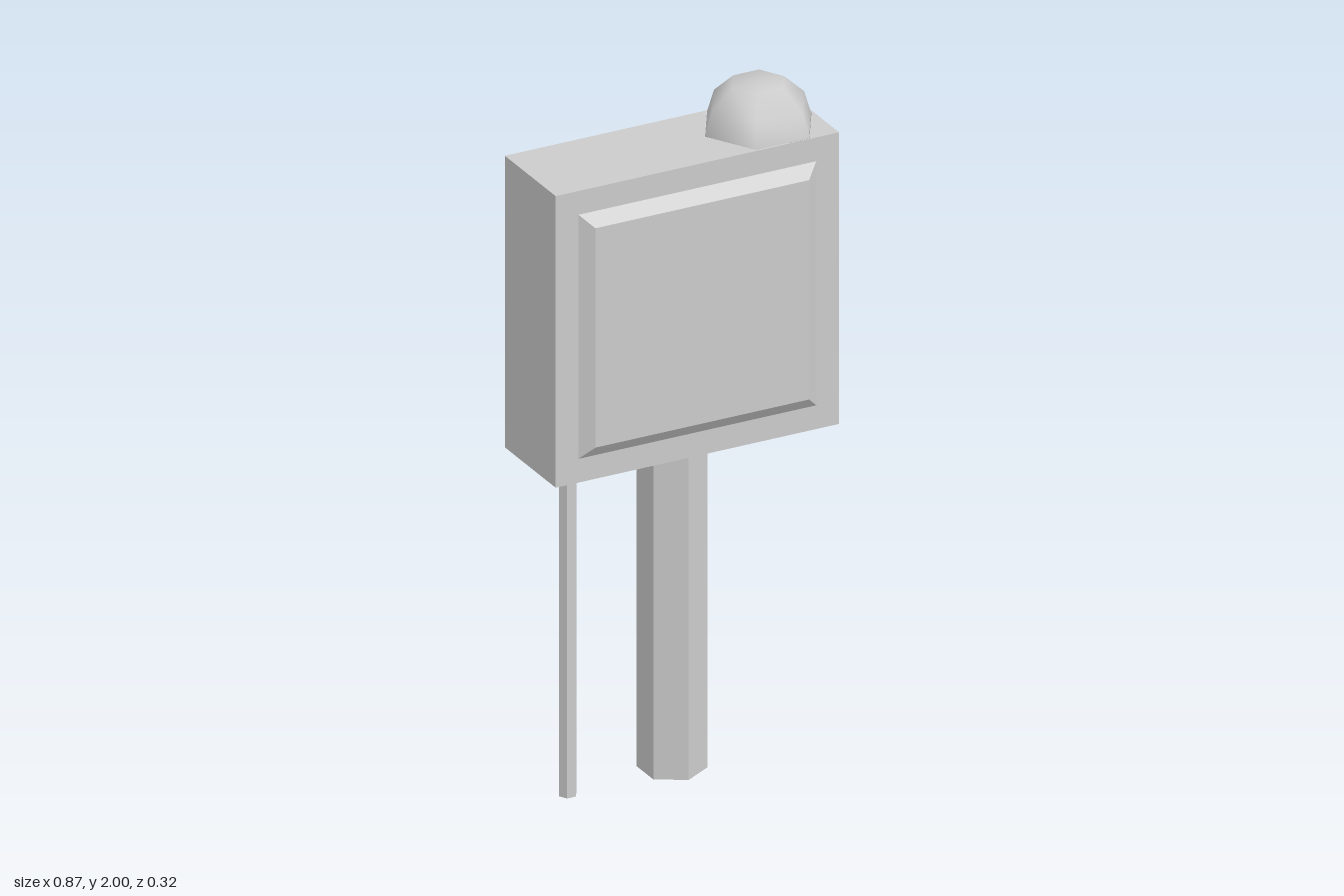
import * as THREE from 'three';

const W = 0.435, BOTTOM = 1.0, TOP = 1.872, BACK = -0.163, FRONT = 0.13;
const MID_Z = -0.016;

const flat = new THREE.MeshStandardMaterial({ color: 0xcccccc, flatShading: true, side: THREE.DoubleSide });
const smooth = new THREE.MeshStandardMaterial({ color: 0xcccccc, side: THREE.DoubleSide });

// Rectangle shape with optional polygon holes { x, y, r, sides, start }
function sheet(x0, y0, x1, y1, holes = []) {
  const shape = new THREE.Shape([[x0, y0], [x1, y0], [x1, y1], [x0, y1]].map(p => new THREE.Vector2(...p)));
  for (const { x, y, r, sides, start } of holes) {
    const pts = [];
    for (let i = 0; i < sides; i++) {
      const a = start - (i / sides) * Math.PI * 2;
      pts.push(new THREE.Vector2(x + r * Math.cos(a), y + r * Math.sin(a)));
    }
    shape.holes.push(new THREE.Path(pts));
  }
  return new THREE.ShapeGeometry(shape);
}

export function createModel() {
  const model = new THREE.Group();
  const add = (name, geometry, x = 0, y = 0, z = 0, material = flat, parent = model) => {
    const mesh = new THREE.Mesh(geometry, material);
    mesh.name = name;
    mesh.position.set(x, y, z);
    parent.add(mesh);
    return mesh;
  };

  // Thin-walled cabinet, open at the back
  const cabinet = new THREE.Group();
  cabinet.name = 'cabinet';
  model.add(cabinet);
  const midY = (BOTTOM + TOP) / 2, half = 0.365, inner = 0.328;
  add('frontFrame', sheet(-W, BOTTOM, W, TOP,
    [{ x: 0, y: midY, r: half * Math.SQRT2, sides: 4, start: Math.PI / 4 }]), 0, 0, FRONT, flat, cabinet);
  for (const s of [-1, 1]) {
    add(s > 0 ? 'leftWall' : 'rightWall',
      new THREE.PlaneGeometry(FRONT - BACK, TOP - BOTTOM).rotateY(s * Math.PI / 2),
      s * W, midY, (FRONT + BACK) / 2, flat, cabinet);
  }
  // Floor with openings into the post and the rod
  add('floor', sheet(-W, BACK, W, FRONT, [
    { x: 0, y: MID_Z, r: 0.096, sides: 6, start: Math.PI / 2 },
    { x: -0.323, y: MID_Z, r: 0.053, sides: 6, start: 0 },
  ]).rotateX(Math.PI / 2), 0, BOTTOM, 0, flat, cabinet);
  // Roof with an opening under the dome
  add('roof', sheet(-W, -FRONT, W, -BACK,
    [{ x: 0.264, y: -MID_Z, r: 0.164, sides: 6, start: 0 }]).rotateX(-Math.PI / 2), 0, TOP, 0, flat, cabinet);

  // Raised front panel with bevelled rim
  const depth = 0.028;
  add('panelBevel', new THREE.CylinderGeometry(inner * Math.SQRT2, half * Math.SQRT2, depth, 4, 1, true, Math.PI / 4)
    .rotateX(Math.PI / 2), 0, midY, FRONT + depth / 2, flat, cabinet);
  add('panelFace', new THREE.PlaneGeometry(inner * 2, inner * 2), 0, midY, FRONT + depth, flat, cabinet);

  // Six-sided dome lamp
  const domeProfile = [[0.163, 0], [0.141, 0.07], [0.08, 0.128], [0, 0.128]].map(p => new THREE.Vector2(...p));
  add('dome', new THREE.LatheGeometry(domeProfile, 6, Math.PI / 6), 0.264, TOP, MID_Z, smooth);

  // Hollow hexagonal post
  add('post', new THREE.CylinderGeometry(0.096, 0.096, 0.99, 6, 1, true), 0, 0.505, MID_Z);

  // Thin hollow rod with a flared collar
  add('rod', new THREE.CylinderGeometry(0.027, 0.027, 0.955, 6, 1, true, Math.PI / 6), -0.323, 0.4775, MID_Z + 0.004);
  add('rodCollar', new THREE.CylinderGeometry(0.053, 0.027, 0.045, 6, 1, true, Math.PI / 6), -0.323, 0.9775, MID_Z + 0.004);

  return model;
}
